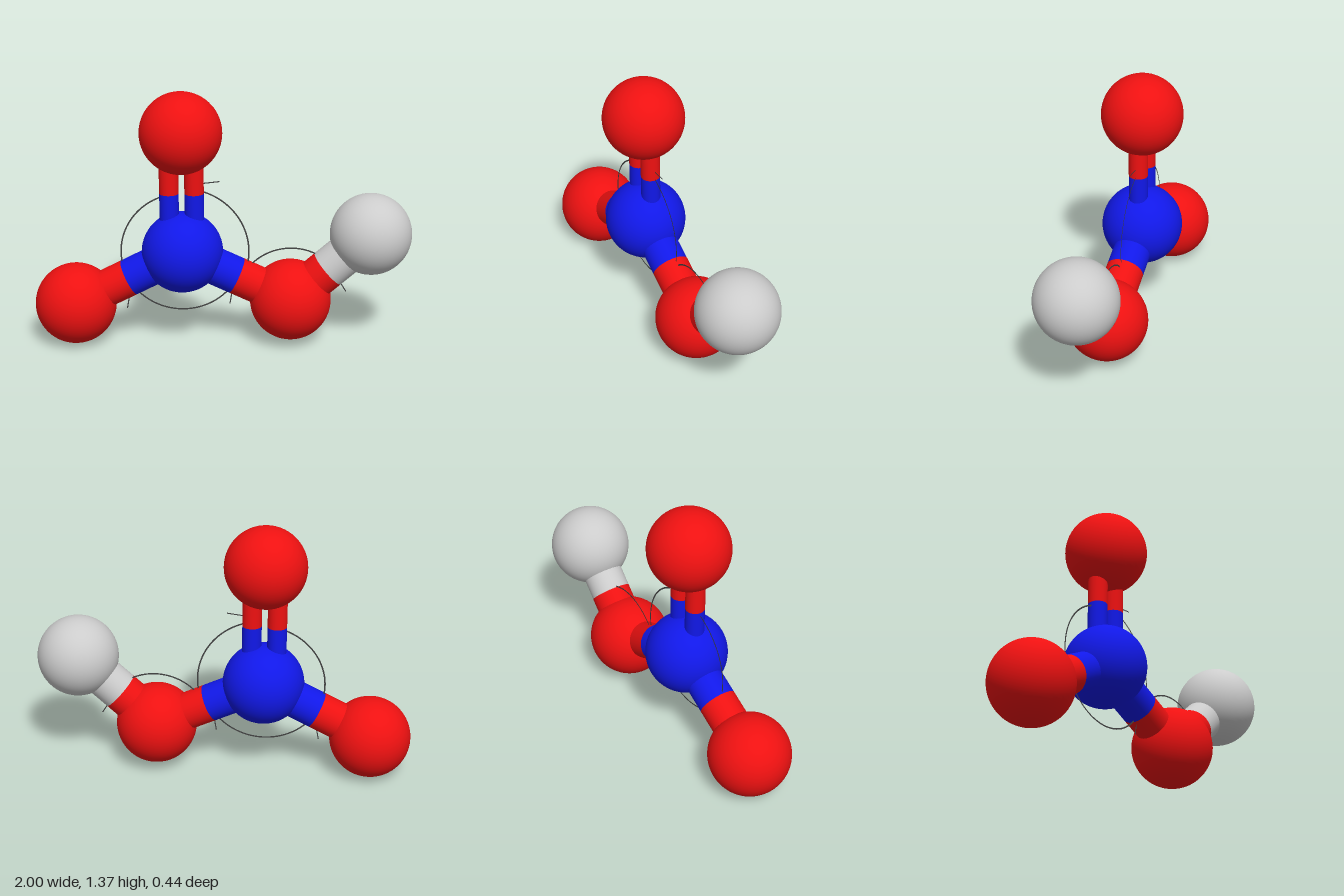
import * as THREE from 'three';

const mat = (color) => new THREE.MeshStandardMaterial({ color });
const UP = new THREE.Vector3(0, 1, 0);
const BALL_RADIUS = 0.216;

export function createModel() {
  const model = new THREE.Group();
  const red = mat(0xee1111), blue = mat(0x1118e8), grey = mat(0xcccccc), line = mat(0x444444);
  line.side = THREE.DoubleSide;

  const add = (parent, name, geometry, material) => {
    const mesh = new THREE.Mesh(geometry, material);
    mesh.name = name;
    parent.add(mesh);
    return mesh;
  };

  // Atoms
  const atom = (name, x, y, z, material) => {
    const position = new THREE.Vector3(x, y, z);
    add(model, name, new THREE.SphereGeometry(BALL_RADIUS, 64, 40), material).position.copy(position);
    return { position, material };
  };
  const centre = atom('centreAtom', -0.212, 0.51, -0.023, blue);
  const top = atom('topAtom', -0.217, 1.162, -0.018, red);
  const left = atom('leftLowerAtom', 0.363, 0.243, -0.018, red);
  const right = atom('rightLowerAtom', -0.783, 0.222, -0.018, red);
  const end = atom('endAtom', 0.782, 0.615, -0.01, grey);

  // Bonds: two coloured halves, each running from its atom to the split
  const bond = (name, a, b, radius, offset = 0, split = 0.5) => {
    const group = new THREE.Group();
    group.name = name;
    const shift = new THREE.Vector3(offset, 0, 0);
    const start = a.position.clone().add(shift), finish = b.position.clone().add(shift);
    const middle = start.clone().lerp(finish, split);
    for (const [from, to, material] of [[start, middle, a.material], [middle, finish, b.material]]) {
      const along = to.clone().sub(from);
      const half = add(group, 'bondHalf', new THREE.CylinderGeometry(radius, radius, along.length(), 40), material);
      half.position.copy(from).addScaledVector(along, 0.5);
      half.quaternion.setFromUnitVectors(UP, along.normalize());
    }
    model.add(group);
  };
  for (const side of [-1, 1]) bond('doubleBond', centre, top, 0.051, side * 0.066);
  bond('leftBond', centre, left, 0.1);
  bond('rightBond', centre, right, 0.1);
  bond('endBond', left, end, 0.108, 0, 0.47);

  // Thin flat arcs marking the angles between bonds
  const arc = (name, at, radius, from, to) => {
    const start = THREE.MathUtils.degToRad(from), sweep = THREE.MathUtils.degToRad(to - from);
    const ring = new THREE.RingGeometry(radius - 0.004, radius + 0.004, 48, 1, start, sweep);
    add(model, name, ring, line).position.set(at.position.x, at.position.y, -0.02);
  };
  arc('rightAngleArc', centre, 0.325, 102, 206);
  arc('bottomAngleArc', centre, 0.325, 207, 335);
  arc('leftAngleArc', centre, 0.352, -25, 76);
  arc('endAngleArc', left, 0.288, 42, 155);

  // Short leader lines beside the bonds
  const leaders = [
    [-0.1, 0.89, -0.016, 0.9], [-0.49, 0.3, -0.51, 0.19],
    [0.06, 0.34, 0.04, 0.215], [0.62, 0.35, 0.66, 0.285],
  ];
  for (const [x1, y1, x2, y2] of leaders) {
    const leader = add(model, 'leaderLine',
      new THREE.PlaneGeometry(Math.hypot(x2 - x1, y2 - y1), 0.006), line);
    leader.position.set((x1 + x2) / 2, (y1 + y2) / 2, -0.02);
    leader.rotation.z = Math.atan2(y2 - y1, x2 - x1);
  }

  return model;
}
